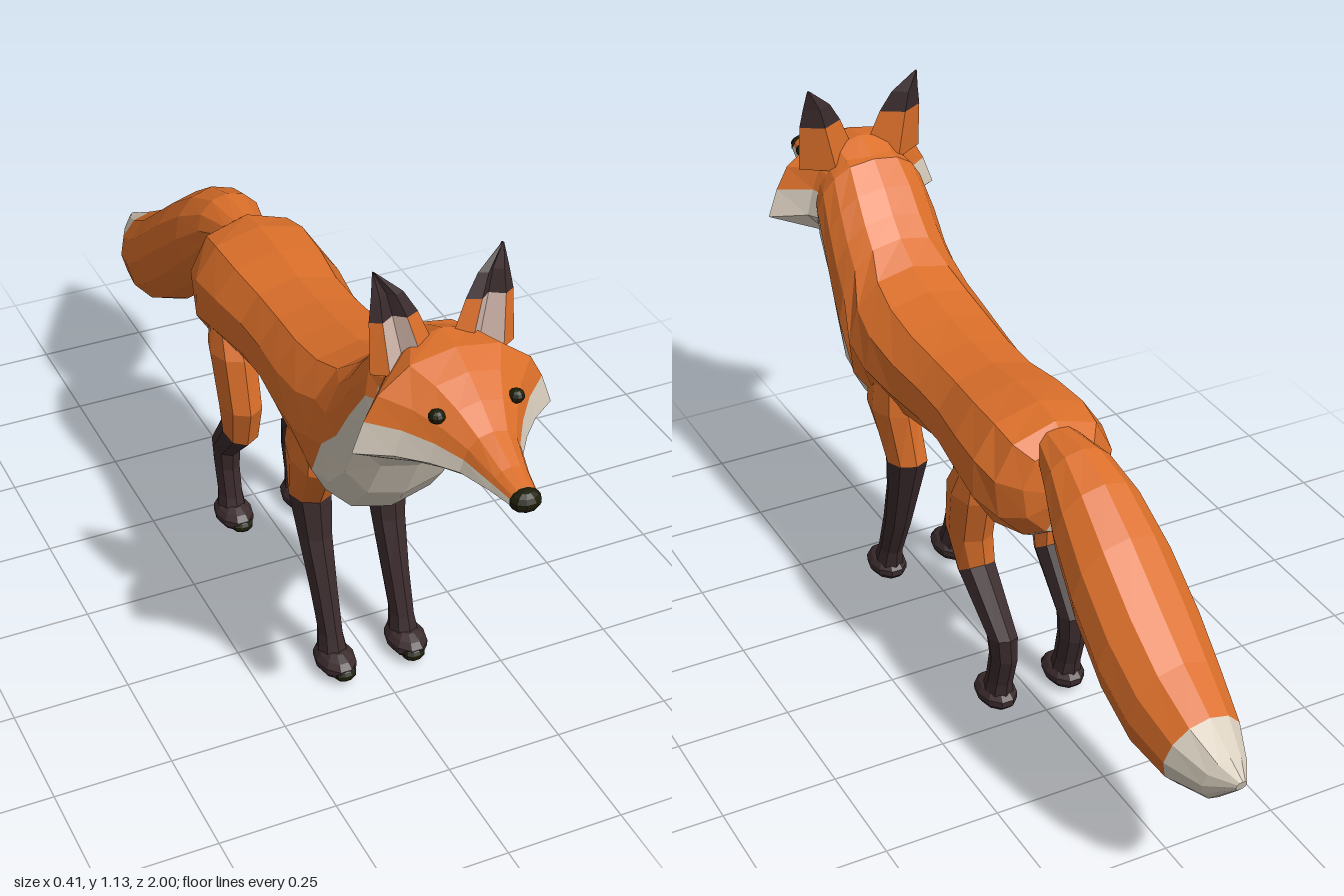
import * as THREE from 'three';

const material = (name, color) =>
  Object.assign(new THREE.MeshStandardMaterial({ color, flatShading: true }), { name });

const orange = material('orange fur', 0xdb6f2a);
const cream = material('cream fur', 0xd8cebe);
const dark = material('dark brown fur', 0x3b2b2d);
const earPink = material('inner ear', 0xd2b6aa);
const black = material('nose black', 0x1c1c08);

// Skin a list of closed rings; pick(band, side) chooses the material index of each quad.
function skin(name, rings, mats, pick) {
  const buckets = mats.map(() => []);
  const tri = (m, ...pts) => pts.forEach((p) => buckets[m].push(p.x, p.y, p.z));
  const n = rings[0].length;
  for (let i = 0; i < rings.length - 1; i++) {
    for (let j = 0; j < n; j++) {
      const k = (j + 1) % n, m = pick(i, j);
      const a = rings[i][j], b = rings[i][k], c = rings[i + 1][k], d = rings[i + 1][j];
      tri(m, a, b, c);
      tri(m, a, c, d);
    }
  }
  // end caps
  [0, rings.length - 1].forEach((r, end) => {
    const ring = rings[r], mid = new THREE.Vector3();
    ring.forEach((p) => mid.addScaledVector(p, 1 / n));
    for (let j = 0; j < n; j++) {
      const p = ring[j], q = ring[(j + 1) % n], m = pick(end ? r - 1 : 0, j);
      if (end) tri(m, mid, p, q);
      else tri(m, mid, q, p);
    }
  });
  const geo = new THREE.BufferGeometry();
  geo.setAttribute('position', new THREE.Float32BufferAttribute(buckets.flat(), 3));
  let start = 0;
  buckets.forEach((b, m) => {
    geo.addGroup(start, b.length / 3, m);
    start += b.length / 3;
  });
  geo.computeVertexNormals();
  const mesh = new THREE.Mesh(geo, mats);
  mesh.name = name;
  return mesh;
}

// Oval ring through two opposite points (z, y) with half width w about xc;
// split is the height fraction where the upper arc meets the lower arc.
function oval([z1, y1, z2, y2, w, split = 0.5], up, low, xc = 0, power = 1) {
  const s = Math.asin(2 * split - 1), pts = [];
  const add = (a) => {
    const c = Math.cos(a), h = Math.sin(a) / 2;
    pts.push(new THREE.Vector3(xc + w * Math.sign(c) * Math.abs(c) ** power,
      (y1 + y2) / 2 + (y1 - y2) * h, (z1 + z2) / 2 + (z1 - z2) * h));
  };
  for (let j = 0; j < up; j++) add(s + ((Math.PI - 2 * s) * j) / up);
  for (let j = 0; j < low; j++) add(Math.PI - s + ((Math.PI + 2 * s) * j) / low);
  return pts;
}

function ball(name, mat, x, y, z, rx, ry, rz) {
  const mesh = new THREE.Mesh(new THREE.SphereGeometry(1, 10, 7), mat);
  mesh.scale.set(rx, ry, rz);
  mesh.position.set(x, y, z);
  mesh.name = name;
  return mesh;
}

// Rump to neck: top z, y, bottom z, y, half width, colour split
function body() {
  const rows = [
    [-0.325, 0.66, -0.325, 0.56, 0.05, 0.03],
    [-0.31, 0.715, -0.31, 0.51, 0.095, 0.03],
    [-0.27, 0.745, -0.26, 0.475, 0.137, 0.04],
    [-0.2, 0.755, -0.2, 0.465, 0.155, 0.1],
    [-0.1, 0.75, -0.12, 0.49, 0.15, 0.1],
    [0, 0.74, 0, 0.505, 0.135, 0.1],
    [0.1, 0.742, 0.1, 0.51, 0.135, 0.1],
    [0.2, 0.75, 0.2, 0.5, 0.145, 0.12],
    [0.3, 0.765, 0.32, 0.475, 0.155, 0.2],
    [0.38, 0.79, 0.4, 0.45, 0.155, 0.3],
    [0.44, 0.83, 0.46, 0.465, 0.15, 0.52],
    [0.48, 0.87, 0.52, 0.54, 0.142, 0.5],
    [0.52, 0.92, 0.57, 0.64, 0.137, 0.5],
    [0.57, 0.968, 0.63, 0.72, 0.13, 0.55],
    [0.63, 0.98, 0.68, 0.76, 0.11, 0.5],
  ];
  return skin('body', rows.map((r) => oval(r, 8, 6, 0, 0.8)), [orange, cream], (i, j) => (j < 8 ? 0 : 1));
}

// Head: z, half width, top y, cheek y, chin y
function head() {
  const rows = [
    [0.57, 0.11, 0.965, 0.84, 0.75],
    [0.64, 0.135, 0.998, 0.83, 0.755],
    [0.7, 0.205, 0.992, 0.815, 0.77],
    [0.75, 0.145, 0.968, 0.825, 0.785],
    [0.8, 0.1, 0.938, 0.83, 0.798],
    [0.85, 0.064, 0.903, 0.832, 0.808],
    [0.92, 0.042, 0.872, 0.834, 0.815],
    [0.975, 0.029, 0.858, 0.835, 0.82],
  ];
  // half profile as width and height fractions, chin (-1) to crown (1)
  const half = [[0.35, -0.93], [0.68, -0.65], [1, 0], [0.89, 0.36], [0.76, 0.64], [0.45, 0.91]];
  const rings = rows.map(([z, w, top, cheek, chin]) => {
    const at = (u, v) => new THREE.Vector3(w * u, cheek + v * (v > 0 ? top - cheek : cheek - chin), z);
    return [at(0, -1), ...half.map(([u, v]) => at(u, v)), at(0, 1),
      ...half.slice().reverse().map(([u, v]) => at(-u, v))];
  });
  return skin('head', rings, [orange, cream], (i, j) => (j >= 4 && j <= 9 ? 0 : 1));
}

// Cupped ear with dark tip and pale inside
function ear(side) {
  const levels = [ // y, outer x, inner x, front z, back z
    [0.94, 0.147, 0.005, 0.67, 0.605],
    [1.045, 0.146, 0.048, 0.652, 0.61],
    [1.09, 0.139, 0.075, 0.64, 0.612],
    [1.135, 0.132, 0.127, 0.622, 0.616],
  ];
  const rings = levels.map(([y, o, n, f, b]) => {
    const p = (t, z) => new THREE.Vector3(side * (o + (n - o) * t), y, z);
    const ring = [p(0, f - (f - b) * 0.3), p(0.5, b), p(1, f - (f - b) * 0.3),
      p(0.72, f), p(0.5, f - (f - b) * 0.4), p(0.22, f)];
    return side > 0 ? ring : ring.reverse();
  });
  const inside = side > 0 ? [3, 4] : [0, 1];
  return skin(side > 0 ? 'leftEar' : 'rightEar', rings, [orange, dark, earPink],
    (i, j) => (i > 0 ? 1 : inside.includes(j) ? 2 : 0));
}

// Bushy tail, pale tip first
function tail() {
  const rows = [
    [-1, 0.36, -0.992, 0.335, 0.012], [-0.955, 0.383, -0.925, 0.267, 0.05],
    [-0.88, 0.425, -0.84, 0.245, 0.086], [-0.78, 0.485, -0.74, 0.257, 0.108],
    [-0.68, 0.56, -0.64, 0.315, 0.118], [-0.57, 0.645, -0.53, 0.405, 0.115],
    [-0.47, 0.71, -0.42, 0.51, 0.1], [-0.38, 0.74, -0.35, 0.6, 0.077],
    [-0.28, 0.735, -0.28, 0.66, 0.05],
  ];
  return skin('tail', rows.map((r) => oval(r, 6, 6)), [orange, cream], (i) => (i < 2 ? 1 : 0));
}

// Leg from rows of front z, y, back z, y, half width, centre x; dark from band darkFrom down
function leg(name, side, rows, darkFrom, footZ) {
  const group = new THREE.Group();
  group.name = name;
  const rings = rows.map((r) => oval(r.slice(0, 5), 4, 4, side * r[5]));
  group.add(skin('limb', rings, [orange, dark], (i) => (i < darkFrom ? 0 : 1)));
  group.add(ball('paw', dark, side * 0.083, 0.033, footZ, 0.043, 0.031, 0.062));
  group.add(ball('toePad', black, side * 0.08, 0.026, footZ + 0.045, 0.026, 0.017, 0.02));
  return group;
}

const frontRows = [
  [0.37, 0.58, 0.22, 0.58, 0.04, 0.1],
  [0.375, 0.5, 0.21, 0.52, 0.05, 0.098],
  [0.305, 0.39, 0.2, 0.395, 0.047, 0.085],
  [0.318, 0.3, 0.235, 0.3, 0.038, 0.084],
  [0.355, 0.19, 0.275, 0.19, 0.03, 0.083],
  [0.39, 0.09, 0.32, 0.09, 0.026, 0.083],
  [0.41, 0.04, 0.33, 0.03, 0.034, 0.083],
];
const backRows = [
  [-0.1, 0.62, -0.18, 0.6, 0.03, 0.11],
  [-0.04, 0.53, -0.18, 0.52, 0.05, 0.105],
  [-0.02, 0.4, -0.145, 0.41, 0.048, 0.1],
  [-0.06, 0.295, -0.14, 0.345, 0.042, 0.092],
  [-0.165, 0.195, -0.245, 0.21, 0.032, 0.085],
  [-0.17, 0.15, -0.245, 0.15, 0.029, 0.083],
  [-0.155, 0.08, -0.225, 0.08, 0.028, 0.083],
  [-0.14, 0.04, -0.22, 0.03, 0.034, 0.083],
];

export function createModel() {
  const fox = new THREE.Group();
  fox.name = 'fox';
  fox.add(body(), head(), tail());
  fox.add(ball('nose', black, 0, 0.839, 0.975, 0.031, 0.022, 0.025));
  for (const side of [1, -1]) {
    const label = side > 0 ? 'left' : 'right';
    fox.add(ear(side));
    fox.add(ball(label + 'Eye', black, side * 0.08, 0.917, 0.786, 0.016, 0.014, 0.016));
    fox.add(leg(label + 'FrontLeg', side, frontRows, 2, 0.38));
    fox.add(leg(label + 'BackLeg', side, backRows, 3, -0.172));
  }
  return fox;
}
